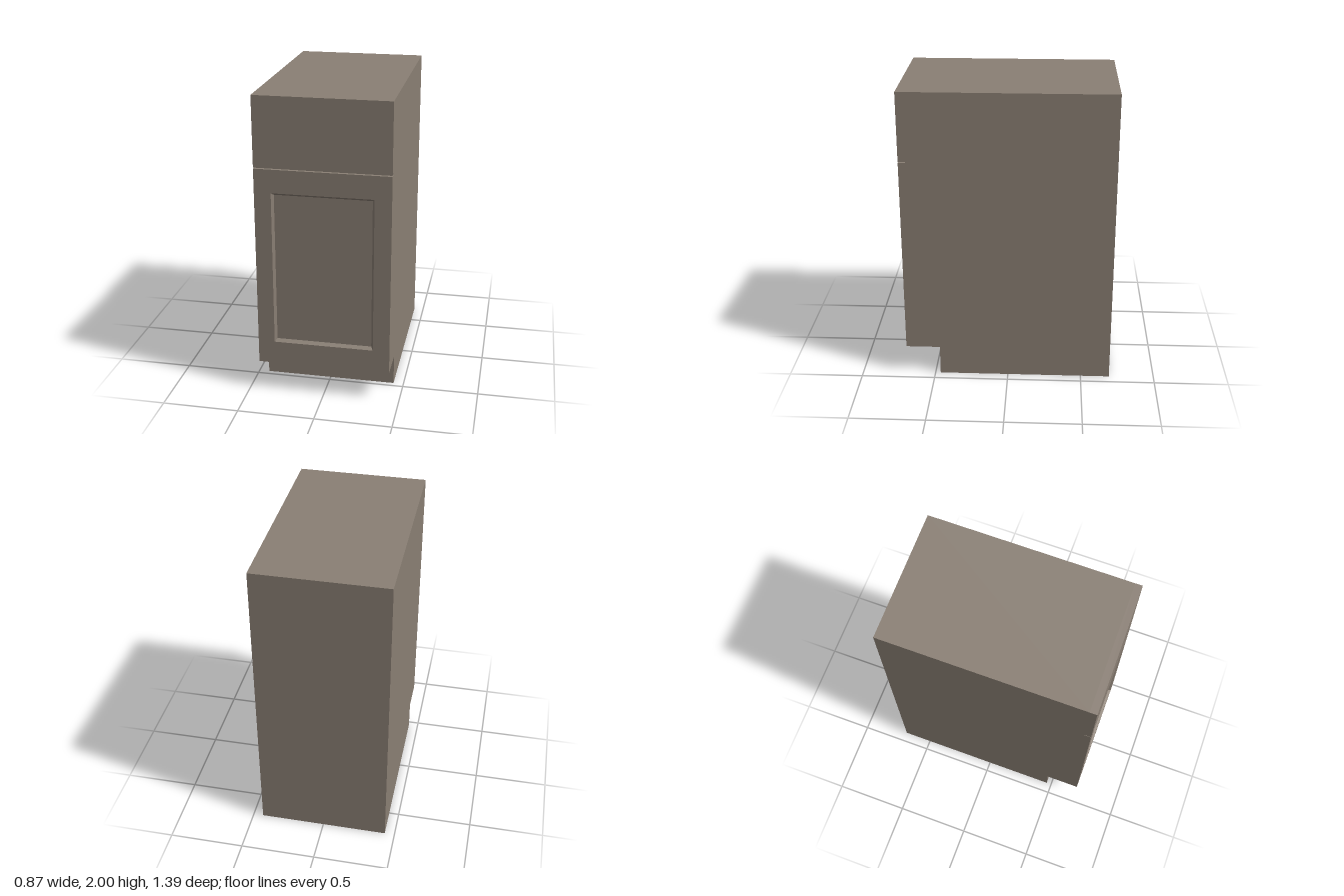
import * as THREE from 'three';

const HALF_W = 0.433, BACK = -0.695, FRONT = 0.695, TOP = 2;
const CARCASS_FRONT = 0.648, KICK_Z = 0.465, KICK_Y = 0.203;
const GAP_LOW = 1.538, GAP_HIGH = 1.545;

// Skins a stack of rectangles [halfWidth, y0, y1, z] and caps the last one
function rectLoft(rings) {
  const corners = rings.map(([w, y0, y1, z]) =>
    [[-w, y0, z], [w, y0, z], [w, y1, z], [-w, y1, z]]);
  const pos = [];
  const quad = (a, b, c, d) => pos.push(...a, ...b, ...c, ...a, ...c, ...d);
  for (let i = 0; i < corners.length - 1; i++) {
    for (let k = 0; k < 4; k++) {
      const n = (k + 1) % 4;
      quad(corners[i][k], corners[i][n], corners[i + 1][n], corners[i + 1][k]);
    }
  }
  quad(...corners[corners.length - 1]);
  const geo = new THREE.BufferGeometry();
  geo.setAttribute('position', new THREE.Float32BufferAttribute(pos, 3));
  geo.computeVertexNormals();
  return geo;
}

export function createModel() {
  const group = new THREE.Group();
  const material = new THREE.MeshStandardMaterial({ color: 0x8a7f74 });
  const add = (name, geometry) => {
    const mesh = new THREE.Mesh(geometry, material);
    mesh.name = name;
    group.add(mesh);
  };

  // Carcass: side profile with a toe-kick notch, extruded across the width
  const profile = new THREE.Shape([
    [BACK, 0], [KICK_Z, 0], [KICK_Z, KICK_Y],
    [CARCASS_FRONT, KICK_Y], [CARCASS_FRONT, TOP], [BACK, TOP],
  ].map(([z, y]) => new THREE.Vector2(-z, y)));
  const carcass = new THREE.ExtrudeGeometry(profile, { depth: HALF_W * 2, bevelEnabled: false });
  carcass.translate(0, 0, -HALF_W).rotateY(Math.PI / 2);
  add('carcass', carcass);

  // Plain drawer front above the shadow gap
  add('drawerFront', rectLoft([
    [HALF_W, GAP_HIGH, TOP, CARCASS_FRONT],
    [HALF_W, GAP_HIGH, TOP, FRONT],
  ]));

  // Door with a bevelled frame around a recessed panel
  add('door', rectLoft([
    [HALF_W, KICK_Y, GAP_LOW, CARCASS_FRONT],
    [HALF_W, KICK_Y, GAP_LOW, FRONT],
    [0.325, 0.357, 1.385, FRONT],
    [0.311, 0.374, 1.369, FRONT - 0.022],
  ]));

  return group;
}
